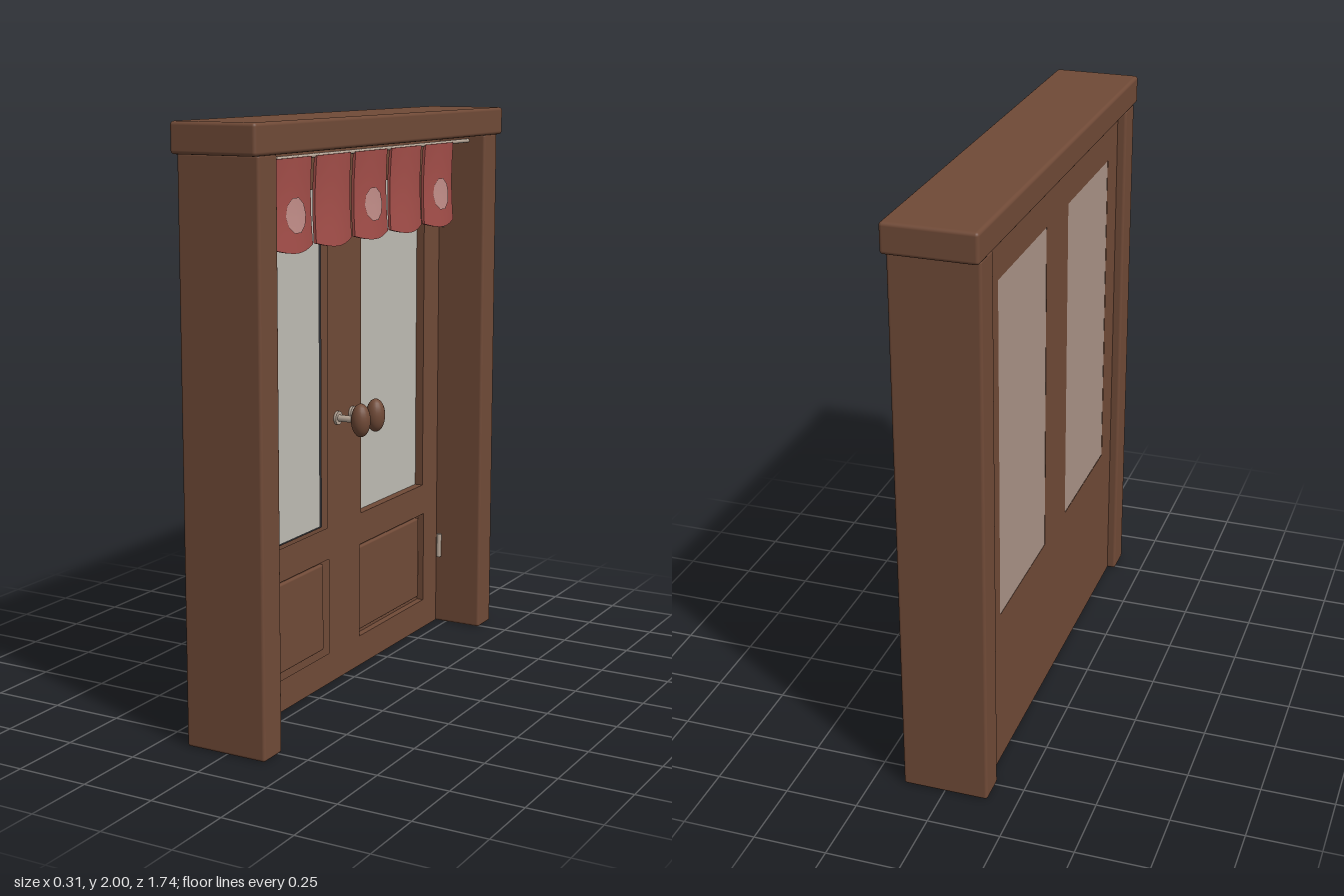
import * as THREE from 'three';
import { RoundedBoxGeometry } from 'three/addons/geometries/RoundedBoxGeometry.js';

const flat = (name, color) => {
  const m = new THREE.MeshStandardMaterial({ color });
  m.name = name;
  return m;
};

export function createModel() {
  const wood = flat('brown wood', 0x704a37);
  const glass = flat('frosted glass', 0xbfbcb4);
  const backGlass = flat('glass back', 0xab9487);
  const cloth = flat('red cloth', 0xa34e49);
  const pale = flat('pale pink patch', 0xc08c87);
  const metal = flat('pale metal', 0xb5a596);

  const model = new THREE.Group();
  model.name = 'doorway';
  const add = (name, geometry, material, x, y, z) => {
    const mesh = new THREE.Mesh(geometry, material);
    mesh.name = name;
    mesh.position.set(x, y, z);
    model.add(mesh);
    return mesh;
  };

  // Outer frame
  add('lintel', new RoundedBoxGeometry(0.307, 0.1, 1.74, 3, 0.012), wood, -0.001, 1.95, 0);
  for (const s of [1, -1]) {
    add('jamb', new RoundedBoxGeometry(0.295, 1.905, 0.107, 3, 0.01), wood, -0.003, 0.9525, s * 0.7855);
  }

  // Door leaf layer: outline with rectangular openings [a, bottom, b, top], pushed out along +x
  const rect = (target, a, y0, b, y1) => {
    target.moveTo(a, y0);
    target.lineTo(b, y0);
    target.lineTo(b, y1);
    target.lineTo(a, y1);
    target.closePath();
    return target;
  };
  const layer = (s, openings, x, depth) => {
    const shape = rect(new THREE.Shape(), 0, 0.004, s * 0.728, 1.885);
    for (const [a, y0, b, y1] of openings) {
      shape.holes.push(rect(new THREE.Path(), s * a, y0, s * b, y1));
    }
    const g = new THREE.ExtrudeGeometry(shape, { depth, bevelEnabled: false });
    const mesh = add('doorLeaf', g, wood, x, 0, 0);
    mesh.rotation.y = Math.PI / 2;
  };
  const pane = [0.12, 0.575, 0.605, 1.755];
  const recess = [0.11, 0.115, 0.617, 0.46];

  for (const s of [1, -1]) {
    layer(s, [pane], -0.12, 0.055);
    layer(s, [pane, recess], -0.065, 0.025);

    // Raised field inside the lower recess
    add('lowerPanel', new RoundedBoxGeometry(0.02, 0.315, 0.475, 2, 0.008), wood, -0.062, 0.2875, s * 0.3635);

    // Window, seen from both sides
    add('windowPane', new THREE.BoxGeometry(0.008, 1.18, 0.485), glass, -0.075, 1.165, s * 0.3625);
    add('windowPaneBack', new THREE.BoxGeometry(0.008, 1.18, 0.485), backGlass, -0.115, 1.165, s * 0.3625);

    // Door knob with rose and stem
    const z = s * 0.053;
    const knob = add('knob', new THREE.SphereGeometry(1, 20, 14), wood, 0.055, 0.955, z);
    knob.scale.set(0.034, 0.059, 0.035);
    const stem = add('knobStem', new THREE.CylinderGeometry(0.012, 0.012, 0.07, 12), metal, -0.007, 0.955, z);
    stem.rotation.z = Math.PI / 2;
    const rose = add('knobRose', new THREE.CylinderGeometry(0.024, 0.024, 0.01, 16), metal, -0.036, 0.955, z);
    rose.rotation.z = Math.PI / 2;

    // Hinges
    for (const y of [0.31, 1.6]) {
      add('hinge', new THREE.CylinderGeometry(0.009, 0.009, 0.09, 10), metal, -0.026, y, s * 0.724);
    }
  }

  // Curtain rod
  const rod = add('curtainRod', new THREE.CylinderGeometry(0.007, 0.007, 1.46, 10), metal, 0.075, 1.88, 0);
  rod.rotation.x = Math.PI / 2;

  // Short curtain panels: u runs across, v down from the rod (0 to 1)
  const billow = (u, v) => 0.016 * v * Math.cos(u * Math.PI) - 0.006 * Math.sin(v * Math.PI);
  const drape = (g, fn) => {
    const p = g.attributes.position;
    for (let i = 0; i < p.count; i++) p.setXYZ(i, ...fn(p.getX(i), p.getY(i), p.getZ(i)));
    g.computeVertexNormals();
    return g;
  };
  for (let i = 0; i < 5; i++) {
    const z = 0.54 - i * 0.254;
    const panel = drape(new THREE.BoxGeometry(1, 1, 0.01, 10, 10, 1), (u, h, t) => {
      const v = 0.5 - h;
      const sag = 0.018 * v * v * Math.cos(u * Math.PI);
      return [u * (0.222 + 0.01 * v), -0.28 * v - sag, t + billow(u, v)];
    });
    add('curtainPanel', panel, cloth, 0.08, 1.88, z).rotation.y = Math.PI / 2;

    // Pale round patch on every other panel
    if (i % 2 === 0) {
      const patch = drape(new THREE.RingGeometry(0.0005, 0.061, 10, 4), (x, y) => {
        const py = y * 0.95 - 0.18;
        return [x, py, billow(x / 0.228, -py / 0.28) + 0.008];
      });
      add('curtainPatch', patch, pale, 0.08, 1.88, z - 0.004).rotation.y = Math.PI / 2;
    }
  }
  return model;
}
